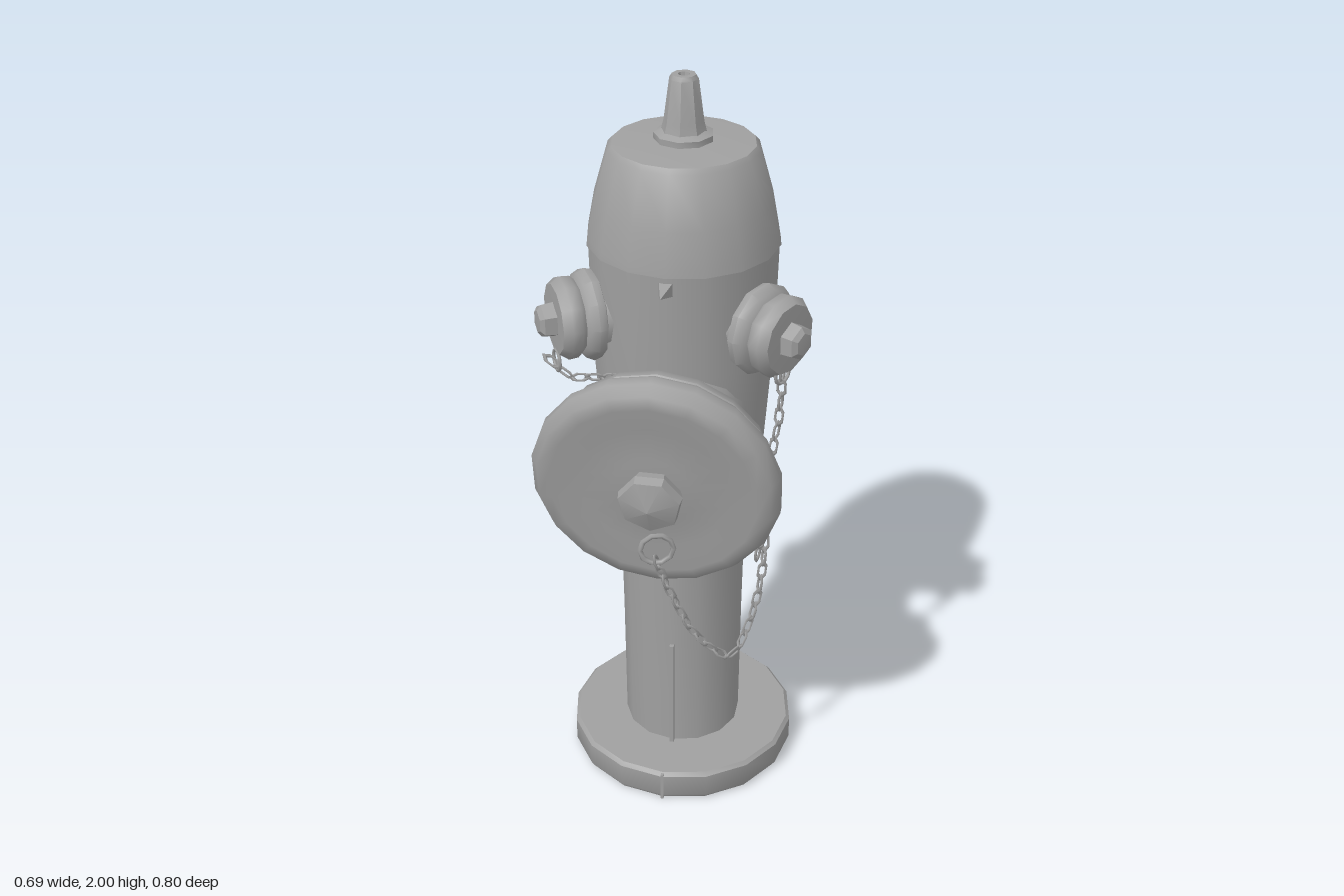
import * as THREE from 'three';
import { toCreasedNormals } from 'three/addons/utils/BufferGeometryUtils.js';

const CX = 0.01, CZ = -0.08; // barrel axis
const UP = new THREE.Vector3(0, 1, 0);

export function createModel() {
  const model = new THREE.Group();
  model.name = 'hydrant';
  const iron = new THREE.MeshStandardMaterial({ color: 0xa0a0a0 });
  iron.name = 'grey iron';

  const add = (name, geo, parent = model) => {
    const mesh = new THREE.Mesh(geo, iron);
    mesh.name = name;
    parent.add(mesh);
    return mesh;
  };
  // Turned part: [radius, height] pairs listed from bottom to top
  const turned = (name, pts, sides, parent = model, crease = 0.75) => {
    const geo = new THREE.LatheGeometry(pts.map(p => new THREE.Vector2(p[0], p[1])), sides);
    return add(name, toCreasedNormals(geo, crease), parent);
  };
  // Group whose local y points along a direction
  const aimed = (name, x, y, z, dir) => {
    const g = new THREE.Group();
    g.name = name;
    g.position.set(x, y, z);
    g.quaternion.setFromUnitVectors(UP, dir.clone().normalize());
    model.add(g);
    return g;
  };

  // Barrel, bonnet and foot share one axis
  const barrel = new THREE.Group();
  barrel.name = 'barrel';
  barrel.position.set(CX, 0, CZ);
  model.add(barrel);
  turned('baseFlange', [[0, 0.02], [0.15, 0.02], [0.16, 0], [0.305, 0], [0.315, 0.015],
    [0.315, 0.08], [0.305, 0.09], [0.15, 0.09]], 16, barrel);
  turned('column', [[0.162, 0.08], [0.165, 0.45], [0.17, 0.8]], 14, barrel);
  turned('upperBody', [[0.165, 0.765], [0.186, 0.785], [0.196, 0.85], [0.215, 1.03],
    [0.234, 1.3], [0.241, 1.58]], 16, barrel);
  turned('bonnet', [[0.23, 1.575], [0.245, 1.58], [0.243, 1.6], [0.226, 1.69], [0.189, 1.82],
    [0.178, 1.832], [0, 1.845]], 16, barrel);
  turned('washer', [[0.05, 1.835], [0.074, 1.84], [0.074, 1.855], [0.05, 1.865]], 9, barrel);
  turned('operatingNut', [[0.058, 1.855], [0.05, 1.885], [0.036, 1.99], [0.03, 2],
    [0.015, 2], [0.012, 1.985], [0, 1.985]], 8, barrel);

  // Seams and bolts on the column and foot
  for (const s of [1, -1]) {
    const seam = add('columnSeam', new THREE.BoxGeometry(0.012, s > 0 ? 0.34 : 0.25, 0.02), barrel);
    seam.position.set(0, s > 0 ? 0.26 : 0.49, s * 0.165);
    const joint = add('baseSeam', new THREE.BoxGeometry(0.008, 0.085, 0.01), barrel);
    joint.position.set(0, 0.045, s * 0.312);
  }
  for (const y of [0.43, 0.59]) {
    const bolt = add('seamBolt', new THREE.CylinderGeometry(0.014, 0.014, 0.03, 6), barrel);
    bolt.rotation.x = Math.PI / 2;
    bolt.position.set(0, y, -0.168);
  }

  // Pointed lip at the front, diamond lug at the back
  const lip = add('frontLip', new THREE.ConeGeometry(0.035, 0.1, 4).toNonIndexed());
  lip.geometry.rotateY(Math.PI / 4);
  lip.geometry.computeVertexNormals();
  lip.rotation.x = Math.PI / 2 - 0.08;
  lip.position.set(CX, 1.55, 0.175);
  const lug = add('backLug', toCreasedNormals(new THREE.OctahedronGeometry(1), 0.3));
  lug.scale.set(0.03, 0.11, 0.062);
  lug.position.set(CX, 1.36, -0.312);

  // Two small outlets
  for (const s of [-1, 1]) {
    const dir = new THREE.Vector3(s * 0.86, 0, 0.5);
    const outlet = aimed(s > 0 ? 'leftOutlet' : 'rightOutlet', CX, 1.41, CZ, dir);
    turned('outletNeck', [[0.1, 0.17], [0.085, 0.25]], 10, outlet);
    turned('outletCap', [[0.08, 0.225], [0.112, 0.235], [0.118, 0.255], [0.108, 0.275], [0.094, 0.283],
      [0.104, 0.295], [0.106, 0.32], [0.09, 0.342], [0, 0.345]], 11, outlet, 0.9);
    turned('outletNut', [[0.048, 0.335], [0.044, 0.375], [0.03, 0.385], [0, 0.387]], 6, outlet, 0.4);
  }

  // Large front outlet, tilted slightly downward
  const pumper = aimed('frontOutlet', CX, 1.08, 0.33, new THREE.Vector3(0, -0.155, 0.988));
  turned('frontNeck', [[0.19, -0.33], [0.205, -0.22], [0.225, -0.13]], 16, pumper);
  turned('frontCap', [[0.2, -0.155], [0.25, -0.15], [0.28, -0.13], [0.287, -0.105], [0.27, -0.085],
    [0.3, -0.082], [0.314, -0.06], [0.314, -0.035], [0.295, -0.006], [0.26, 0], [0.19, -0.014],
    [0.1, -0.004], [0, 0]], 18, pumper, 0.9);
  turned('frontNut', [[0.068, -0.01], [0.082, 0.025], [0.078, 0.05], [0, 0.075]], 7, pumper, 0.4);

  // Chains: links alternate a quarter turn along each curve
  const linkGeo = new THREE.TorusGeometry(0.012, 0.0038, 4, 6).scale(2, 1, 1);
  const X = new THREE.Vector3(1, 0, 0);
  const chain = (name, pts) => {
    const g = new THREE.Group();
    g.name = name;
    model.add(g);
    const curve = new THREE.CatmullRomCurve3(pts.map(p => new THREE.Vector3(...p)));
    const n = Math.round(curve.getLength() / 0.042);
    for (let i = 0; i <= n; i++) {
      const link = add('link', linkGeo, g);
      link.position.copy(curve.getPointAt(i / n));
      link.quaternion.setFromUnitVectors(X, curve.getTangentAt(i / n));
      link.rotateX(i % 2 ? 0.4 : 0.4 + Math.PI / 2);
    }
  };
  chain('frontCapChain', [[0.02, 0.88, 0.335], [0.05, 0.75, 0.29], [0.11, 0.59, 0.24], [0.19, 0.505, 0.19],
    [0.235, 0.6, 0.14], [0.26, 0.78, 0.11], [0.255, 0.9, 0.1]]);
  chain('leftCapChain', [[0.29, 1.32, 0.1], [0.285, 1.2, 0.09], [0.27, 1.08, 0.1], [0.255, 0.98, 0.1]]);
  chain('rightCapChain', [[-0.29, 1.3, 0.11], [-0.24, 1.27, 0.12], [-0.15, 1.285, 0.14], [0.03, 1.31, 0.18],
    [0.15, 1.26, 0.185], [0.235, 1.1, 0.18], [0.26, 0.92, 0.16], [0.25, 0.82, 0.16]]);

  // Rings that hold the chain ends
  const ring = (name, r, x, y, z, ry) => {
    const m = add(name, new THREE.TorusGeometry(r, r * 0.17, 5, 10));
    m.position.set(x, y, z);
    m.rotation.y = ry;
  };
  ring('chainRing', 0.05, 0.255, 0.94, 0.1, Math.PI / 2);
  ring('frontCapRing', 0.042, 0.02, 0.92, 0.335, 0.3);
  ring('leftCapRing', 0.028, 0.29, 1.32, 0.1, Math.PI / 3);
  ring('rightCapRing', 0.028, -0.28, 1.3, 0.1, -Math.PI / 3);

  return model;
}
